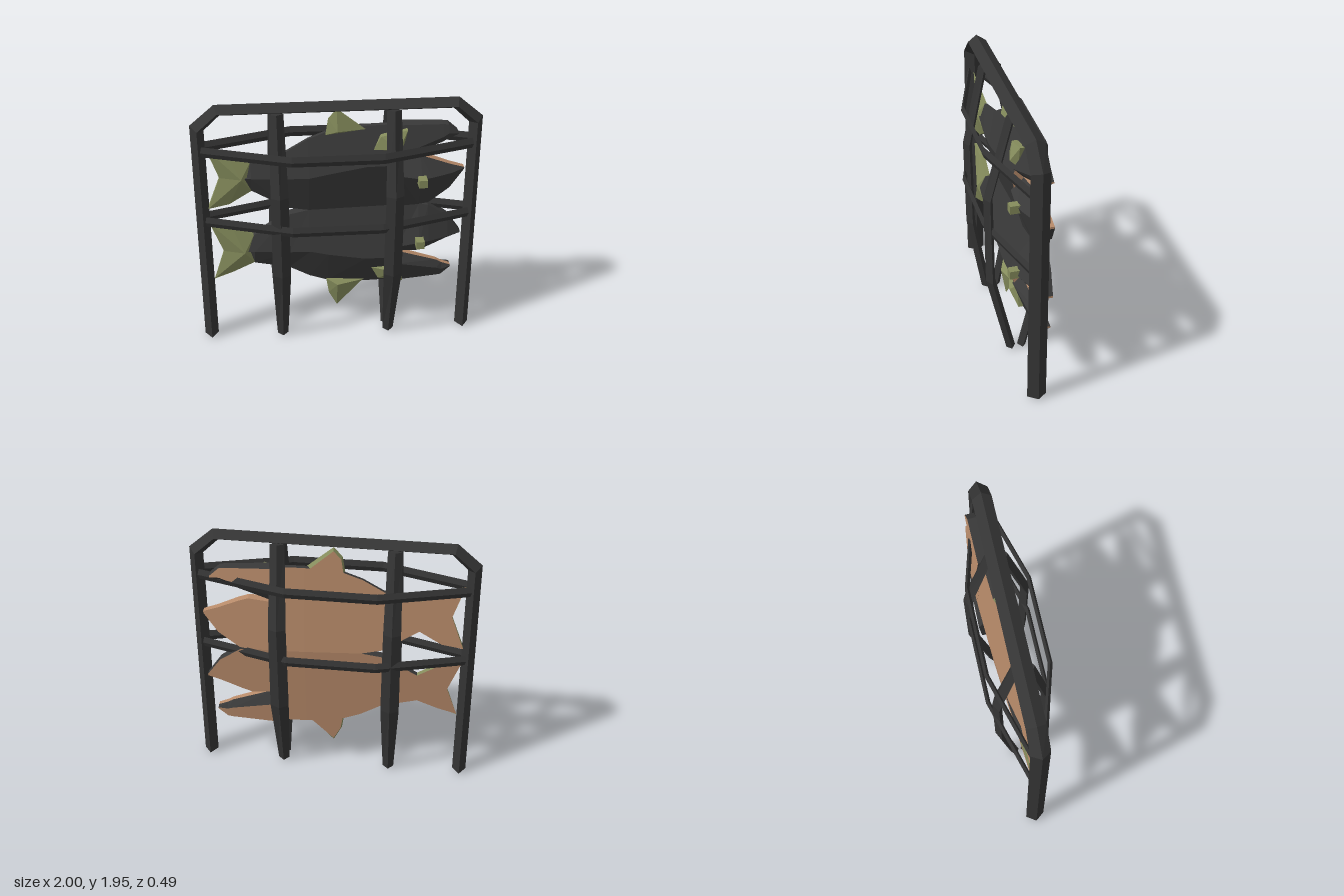
import * as THREE from 'three';

const MID = 1.06; // fold line between the two fish halves

function mat(name, color) {
  const m = new THREE.MeshStandardMaterial({ color });
  m.name = name;
  return m;
}

// Flat-shaded geometry from two face lists, one per material slot
function facets(lists) {
  const g = new THREE.BufferGeometry();
  const pts = lists.flat().flat();
  g.setAttribute('position', new THREE.Float32BufferAttribute(pts.flatMap((p) => p.toArray()), 3));
  let start = 0;
  lists.forEach((list, i) => {
    g.addGroup(start, list.length * 3, i);
    start += list.length * 3;
  });
  g.computeVertexNormals();
  return g;
}

// Joins equal rings; the sides listed in 'second' use the second material
function loft(rings, second = [], flip = false) {
  const lists = [[], []];
  const tri = (k, a, b, c) => lists[k].push(flip ? [a, c, b] : [a, b, c]);
  const n = rings[0].length;
  for (let r = 0; r + 1 < rings.length; r++) {
    const a = rings[r], b = rings[r + 1];
    for (let i = 0; i < n; i++) {
      const j = (i + 1) % n, k = second.includes(i) ? 1 : 0;
      tri(k, a[i], a[j], b[j]);
      tri(k, a[i], b[j], b[i]);
    }
  }
  const s = rings[0], e = rings[rings.length - 1];
  const capSlot = second.length ? 1 : 0;
  for (let i = 1; i + 1 < n; i++) {
    tri(0, s[0], s[i + 1], s[i]);
    tri(capSlot, e[0], e[i], e[i + 1]);
  }
  return facets(lists);
}

// Diamond-section bar along a path, mitred at the bends
function bar(path, axis, halfAxis, halfNormal) {
  const p = path.map((q) => new THREE.Vector3(...q));
  const at = (v, i) => (Array.isArray(v) ? v[i] : v);
  const rings = p.map((c, i) => {
    const t0 = c.clone().sub(p[Math.max(i - 1, 0)]).normalize();
    const t1 = p[Math.min(i + 1, p.length - 1)].clone().sub(c).normalize();
    const t = t0.clone().add(t1).normalize();
    const mitre = i && i < p.length - 1 ? 1 / t.dot(t1) : 1;
    const n = new THREE.Vector3().crossVectors(axis, t).normalize().multiplyScalar(at(halfNormal, i) * mitre);
    const b = axis.clone().multiplyScalar(at(halfAxis, i));
    return [c.clone().add(n), c.clone().add(b), c.clone().sub(n), c.clone().sub(b)];
  });
  return loft(rings);
}

const backZ = (x, y) => -0.13 + 0.04 * Math.abs(x - 0.35) + 0.08 * Math.abs(y - MID);

// Ridged slab from stations [x, bottom, ridge, top, ridgeZ, rimZ].
// Sides: 0 and 1 front, 2 lower wall, 3 lower bevel, 4 back, 5 upper wall
function ridged(stations, s, second, bevel = 0, shift = 0) {
  const rings = stations.map(([x, yb, yr, yt, zr, ze]) => {
    const v = (y, z) => new THREE.Vector3(x, MID + s * (y - MID), z);
    const zb = backZ(x, yb) + shift, yBack = yb + bevel * (yt - yb);
    return [v(yt, ze), v(yr, zr), v(yb, ze), v(yb, (ze + zb) / 2), v(yBack, zb), v(yt, backZ(x, yt) + shift)];
  });
  return loft(rings, second, s < 0);
}

// Fin: outline fanned around a raised centre; the back is flat and may be smaller
function fin(outline, [cx, cy, cz], s, rimZ, backScale = 1, shift = 0) {
  const lists = [[], []];
  const tri = (k, a, b, c) => lists[k].push(s < 0 ? [a, c, b] : [a, b, c]);
  const v = (x, y, z) => new THREE.Vector3(x, MID + s * (y - MID), z);
  const rear = (x, y) => {
    const u = cx + (x - cx) * backScale, w = cy + (y - cy) * backScale;
    return v(u, w, backZ(u, w) + shift);
  };
  const front = v(cx, cy, cz), back = rear(cx, cy);
  outline.forEach(([x, y], i) => {
    const [u, w] = outline[(i + 1) % outline.length];
    const a = v(x, y, rimZ), b = v(u, w, rimZ);
    const c = rear(x, y), d = rear(u, w);
    tri(0, front, a, b);
    tri(0, a, c, d);
    tri(0, a, d, b);
    tri(1, back, d, c);
  });
  return facets(lists);
}

export function createModel() {
  const group = new THREE.Group();
  const wood = mat('dark wood', 0x343434);
  const skin = mat('fish skin', 0x393939);
  const flesh = mat('dried flesh', 0xb88b6a);
  const green = mat('fin green', 0x858c5c);
  const add = (name, geometry, material, parent = group) => {
    const m = new THREE.Mesh(geometry, material);
    m.name = name;
    parent.add(m);
    return m;
  };
  const X = new THREE.Vector3(1, 0, 0), Y = new THREE.Vector3(0, 1, 0), Z = new THREE.Vector3(0, 0, 1);
  const frameZ = (x) => -0.01 + 0.04 * x;

  // Outer arch, set slightly askew
  const arch = [[-0.95, 0], [-0.95, 1.77], [-0.81, 1.9], [0.81, 1.9], [0.95, 1.77], [0.95, 0]];
  add('outerFrame', bar(arch.map(([x, y]) => [x, y, frameZ(x)]), Z, 0.068, [0.05, 0.047, 0.042, 0.042, 0.047, 0.05]), wood);

  // Bowed ribs, front and back
  for (const [x, reach] of [[-0.415, 0.17], [0.38, 0.205]]) {
    for (const side of [1, -1]) {
      const path = [[0, 0.04], [0.62, reach - 0.015], [1.29, reach], [1.88, 0.05]]
        .map(([y, z]) => [x, y, frameZ(x) + side * z]);
      add(side > 0 ? 'frontRib' : 'backRib', bar(path, X, [0.04, 0.066, 0.062, 0.05], 0.033), wood);
    }
  }

  // Bowed rails, front and back
  const railPaths = {
    frontRail: [[-0.95, -0.02], [-0.33, 0.19], [0.3, 0.213], [0.95, 0.06]],
    backRail: [[-0.95, -0.08], [-0.31, -0.235], [0.32, -0.21], [0.95, -0.01]],
  };
  for (const y of [1.03, 1.6]) {
    for (const [name, path] of Object.entries(railPaths)) {
      add(name, bar(path.map(([x, z]) => [x, y, z]), Y, 0.04, 0.016), wood);
    }
  }

  // Split fish: one half above the fold, one mirrored below
  for (const s of [1, -1]) {
    const half = new THREE.Group();
    half.name = s > 0 ? 'upperFishHalf' : 'lowerFishHalf';
    group.add(half);
    add('body', ridged([
      [-0.66, 1.36, 1.37, 1.38, -0.01, -0.04],
      [-0.6, 1.25, 1.37, 1.49, 0.0, -0.04],
      [-0.35, 1.09, 1.37, 1.55, 0.03, -0.04],
      [-0.2, 1.06, 1.37, 1.64, 0.04, -0.04],
      [-0.07, 1.06, 1.4, 1.69, 0.05, -0.04],
      [0.2, 1.06, 1.45, 1.72, 0.06, -0.04],
      [0.44, 1.06, 1.45, 1.72, 0.065, -0.04],
    ], s, [4]), [skin, flesh], half);
    add('head', ridged([
      [0.43, 1.06, 1.36, 1.45, 0.065, -0.02],
      [0.59, 1.06, 1.33, 1.465, 0.075, -0.03],
      [0.66, 1.07, 1.33, 1.44, 0.06, -0.03],
      [0.81, 1.18, 1.33, 1.375, 0.01, -0.04],
      [0.91, 1.325, 1.335, 1.34, -0.04, -0.045],
    ], s, [4, 5]), [skin, flesh], half);
    add('jaw', ridged([
      [0.43, 1.45, 1.52, 1.72, 0.05, -0.02],
      [0.74, 1.565, 1.62, 1.705, 0.0, -0.03],
      [0.78, 1.59, 1.64, 1.7, -0.01, -0.03],
      [0.85, 1.62, 1.625, 1.635, -0.025, -0.03],
    ], s, [2, 4], 0.35, -0.03), [skin, flesh], half);
    add('tail', fin([
      [-0.6, 1.485], [-0.76, 1.56], [-0.9, 1.61], [-0.82, 1.37], [-0.91, 1.12], [-0.76, 1.15], [-0.6, 1.25],
    ], [-0.67, 1.37, 0.01], s, -0.04), [green, flesh], half);
    const tip = s > 0 ? 1.87 : 1.92;
    add('backFin', fin([
      [-0.08, 1.67], [0.2, 1.7], [0.17, 1.725], [0, tip], [-0.06, 1.8],
    ], [0, 1.71, 0.01], s, -0.03, 0.88), [green, flesh], half);
    add('sideFin', fin([
      [0.25, 1.56], [0.45, 1.54], [0.485, 1.7], [0.3, 1.66],
    ], [0.42, 1.58, 0.07], s, 0.02, 1, 0.06), [green, green], half);
    const eye = add('eye', new THREE.BoxGeometry(0.06, 0.06, 0.07), green, half);
    eye.position.set(0.59, MID + s * 0.26, 0.09);
  }
  return group;
}
